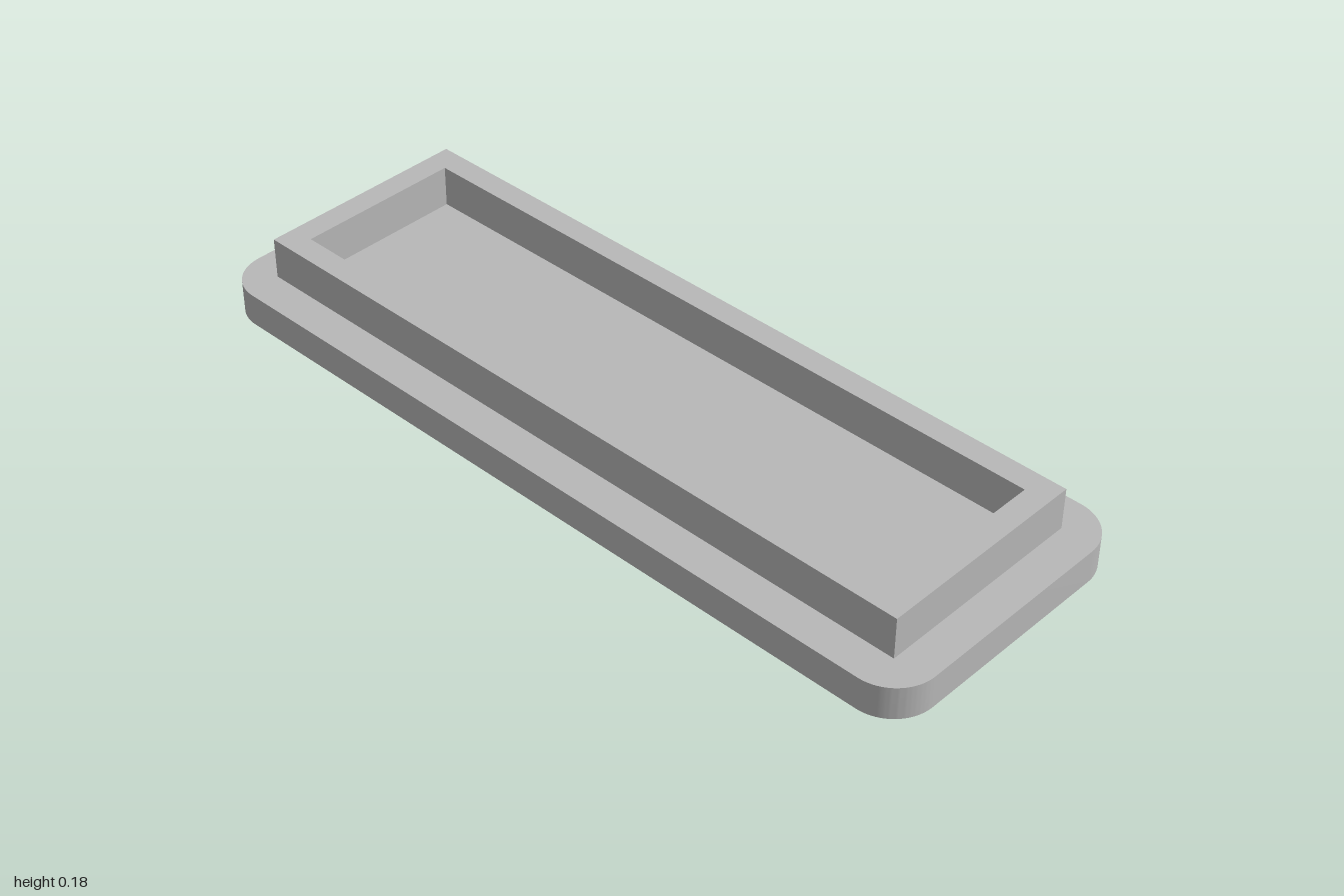
import * as THREE from 'three';
import { toCreasedNormals } from 'three/addons/utils/BufferGeometryUtils.js';

// Rectangle outline centred on the origin, with optional rounded corners
function rectangle(Path, halfX, halfZ, radius = 0) {
  const path = new Path();
  if (radius === 0) {
    return path.setFromPoints([[-1, -1], [1, -1], [1, 1], [-1, 1]]
      .map(([sx, sz]) => new THREE.Vector2(sx * halfX, sz * halfZ)));
  }
  const cx = halfX - radius, cz = halfZ - radius;
  [[1, 1], [-1, 1], [-1, -1], [1, -1]].forEach(([sx, sz], i) =>
    path.absarc(sx * cx, sz * cz, radius, i * Math.PI / 2, (i + 1) * Math.PI / 2));
  path.closePath();
  return path;
}

// Upright slab extruded from an outline
function slab(name, shape, bottom, top, material) {
  const extruded = new THREE.ExtrudeGeometry(shape, {
    depth: top - bottom, bevelEnabled: false, curveSegments: 16,
  });
  extruded.rotateX(-Math.PI / 2).translate(0, bottom, 0);
  const mesh = new THREE.Mesh(toCreasedNormals(extruded, Math.PI / 6), material);
  mesh.name = name;
  return mesh;
}

export function createModel() {
  const group = new THREE.Group();
  group.name = 'lid';
  const grey = new THREE.MeshStandardMaterial({ color: 0xb8b8b8 });
  grey.name = 'light grey';

  // Flat plate with rounded corners
  const plate = rectangle(THREE.Shape, 1, 0.353, 0.105);
  group.add(slab('basePlate', plate, 0, 0.081, grey));

  // Raised square-cornered lip around a shallow recess
  const lip = rectangle(THREE.Shape, 0.912, 0.265);
  lip.holes.push(rectangle(THREE.Path, 0.853, 0.206));
  group.add(slab('raisedLip', lip, 0.081, 0.183, grey));

  return group;
}
